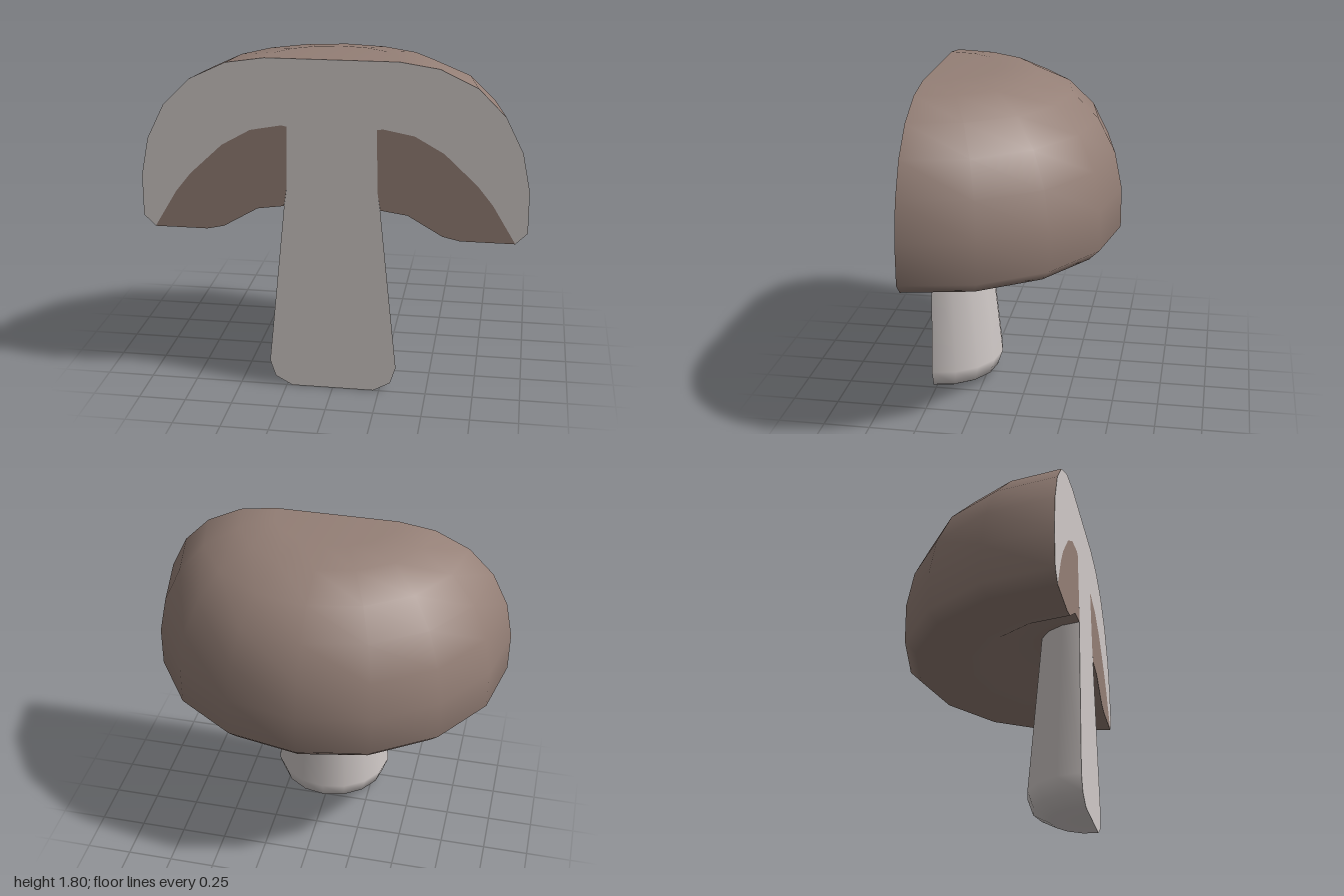
import * as THREE from 'three';

const CUT_Z = 0.5; // plane of the slice
const vec = (pts) => pts.map(([x, y]) => new THREE.Vector2(x, y));
const mirror = (pts) => pts.map(([x, y]) => [-x, y]);

// Cap section, from the underside round the rim to the crown
const underside = [[0.2, 1.03], [0.25, 1.025], [0.39, 1.005], [0.57, 0.9], [0.66, 0.88], [0.94, 0.88]];
const dome = [[0.94, 0.88], [1, 0.94], [1, 1.16], [0.96, 1.36], [0.87, 1.54],
  [0.73, 1.68], [0.54, 1.77], [0.34, 1.8]];
// Stem section, from the base up
const stemSide = [[0.22, 0], [0.31, 0.05], [0.34, 0.14], [0.25, 1.02]];
// Edge between flesh and gills, from the stem out to the rim
const gillEdge = [[0.235, 1.12], [0.23, 1.45], [0.26, 1.455], [0.42, 1.425], [0.57, 1.34],
  [0.74, 1.18], [0.82, 1.08]];

export function createModel() {
  const group = new THREE.Group();
  const capBrown = new THREE.MeshStandardMaterial({ color: 0x947f76 });
  const flesh = new THREE.MeshStandardMaterial({ color: 0xd0c9c7 });

  const add = (name, geometry, material) => {
    const mesh = new THREE.Mesh(geometry, material);
    mesh.name = name;
    mesh.position.z = CUT_Z;
    group.add(mesh);
  };
  // Half turn behind the slice
  const halfLathe = (pts) => new THREE.LatheGeometry(vec(pts), 8, Math.PI / 2, Math.PI);
  const face = (pts) => new THREE.ShapeGeometry(new THREE.Shape(vec(pts)));

  // Rounded back halves
  add('cap', halfLathe([...underside, ...dome.slice(1), [0, 1.8]]), capBrown);
  add('stem', halfLathe([[0, 0], ...stemSide, [0.25, 1.06]]), flesh);

  // Flat slice through stem and cap flesh
  const half = [...stemSide, ...gillEdge, ...dome];
  add('fleshSlice', face([...half, ...mirror(half).reverse()]), flesh);

  // Gill areas on both sides of the stem
  const gill = [...gillEdge, ...underside.slice(1).reverse()];
  add('leftGills', face(gill), capBrown);
  add('rightGills', face(mirror(gill)), capBrown);

  return group;
}
